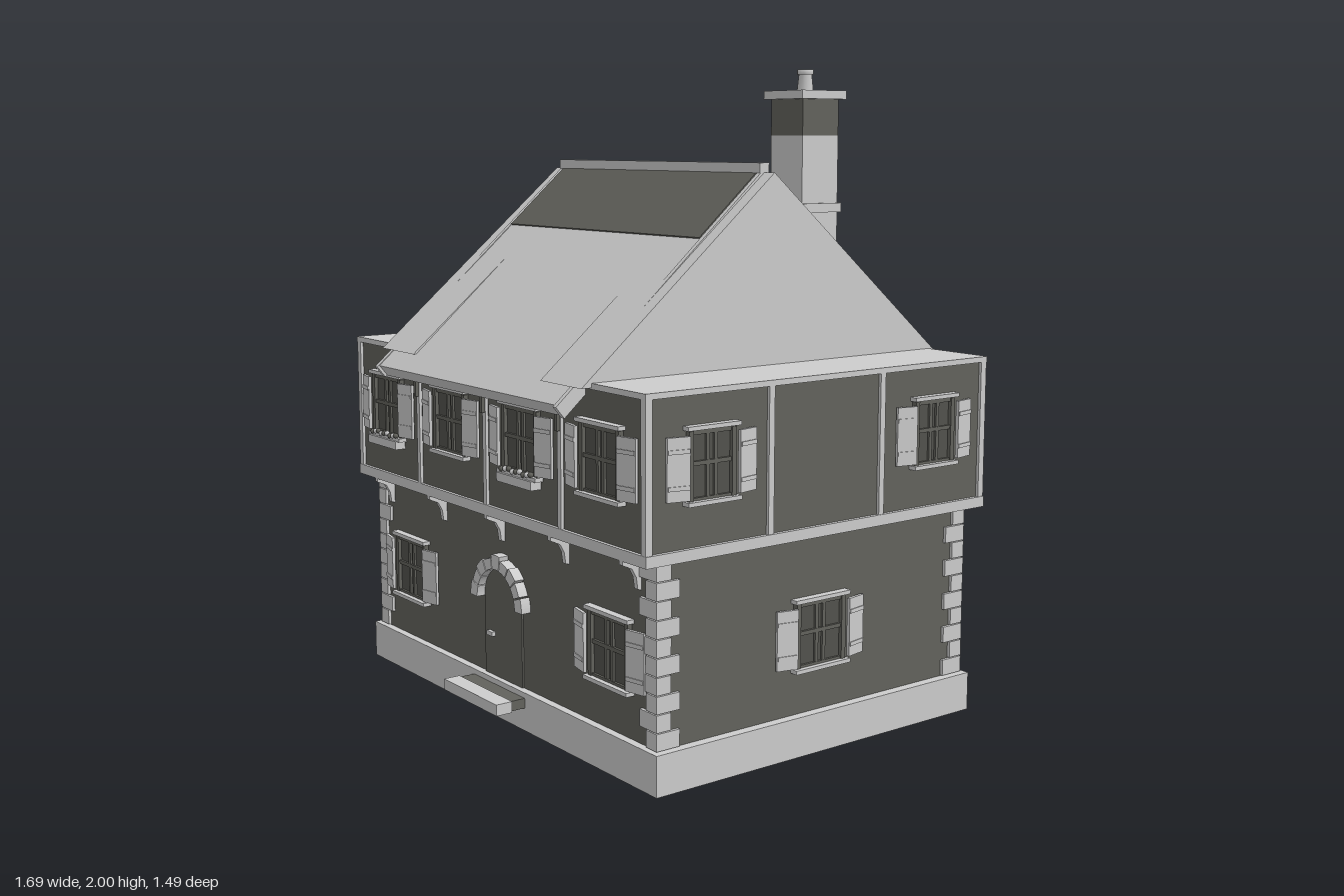
import * as THREE from 'three';

export function createModel() {
  const house = new THREE.Group();
  const stone = new THREE.MeshStandardMaterial({ color: 0xcccccc });
  stone.name = 'light stone';
  const plaster = new THREE.MeshStandardMaterial({ color: 0x62625c });
  plaster.name = 'dark plaster';
  const glass = new THREE.MeshStandardMaterial({ color: 0x52524d });
  glass.name = 'dark glass';

  function add(parent, name, geo, mat) {
    const mesh = new THREE.Mesh(geo, mat);
    mesh.name = name;
    parent.add(mesh);
    return mesh;
  }
  // Box given by its min and max on each axis
  function box(parent, name, mat, x0, x1, y0, y1, z0, z1) {
    const m = add(parent, name, new THREE.BoxGeometry(x1 - x0, y1 - y0, z1 - z0), mat);
    m.position.set((x0 + x1) / 2, (y0 + y1) / 2, (z0 + z1) / 2);
    return m;
  }
  // Outline in (z, y), extruded along x
  function alongX(parent, name, mat, pts, x0, x1) {
    const shape = new THREE.Shape(pts.map(([z, y]) => new THREE.Vector2(-z, y)));
    const geo = new THREE.ExtrudeGeometry(shape, { depth: x1 - x0, bevelEnabled: false });
    geo.rotateY(Math.PI / 2).translate(x0, 0, 0);
    return add(parent, name, geo, mat);
  }

  // Plinth, doorstep and floors
  box(house, 'plinth', stone, -0.82, 0.82, 0, 0.12, -0.615, 0.615);
  box(house, 'doorstep', stone, -0.157, 0.157, 0.07, 0.105, 0.665, 0.72);
  box(house, 'doorstepRear', plaster, -0.15, 0.15, 0.072, 0.103, 0.6, 0.665);
  box(house, 'groundFloorWalls', plaster, -0.79, 0.79, 0.12, 0.655, -0.59, 0.59);
  box(house, 'upperFloorWalls', plaster, -0.815, 0.815, 0.68, 1.11, -0.645, 0.645);
  box(house, 'lowerBeam', stone, -0.828, 0.828, 0.652, 0.685, -0.656, 0.656);
  box(house, 'upperDeck', stone, -0.826, 0.826, 1.108, 1.125, -0.656, 0.656);

  // Timber posts of the upper floor
  for (const s of [-1, 1]) {
    for (const x of [-0.41, 0, 0.41]) {
      box(house, 'wallPost', stone, x - 0.009, x + 0.009, 0.685, 1.11, s * 0.648 - 0.007, s * 0.648 + 0.007);
      box(house, 'eaveBrace', plaster, x - 0.006, x + 0.006, 0.97, 1.09, s * 0.658 - 0.008, s * 0.658 + 0.008);
    }
    for (const z of [-0.215, 0.215])
      box(house, 'sidePost', stone, s * 0.818 - 0.007, s * 0.818 + 0.007, 0.685, 1.11, z - 0.01, z + 0.01);
    for (const t of [-1, 1])
      box(house, 'cornerPost', stone, s * 0.814 - 0.011, s * 0.814 + 0.011, 0.685, 1.11, t * 0.644 - 0.011, t * 0.644 + 0.011);
  }

  // Corner quoins, long and short by turns
  for (const sx of [-1, 1]) for (const sz of [-1, 1]) for (let i = 0; i < 10; i++) {
    const lx = i % 2 ? 0.08 : 0.05, lz = i % 2 ? 0.05 : 0.08;
    const q = add(house, 'quoin', new THREE.BoxGeometry(lx, 0.05, lz), stone);
    q.position.set(sx * (0.8 - lx / 2), 0.1475 + i * 0.0532, sz * (0.6 - lz / 2));
  }

  // Curved brackets under the overhang
  for (const x of [-0.71, -0.355, 0, 0.355, 0.71])
    alongX(house, 'bracket', stone, [[0.585, 0.655], [0.585, 0.56], [0.603, 0.565], [0.608, 0.6], [0.622, 0.625], [0.655, 0.64], [0.655, 0.655]], x - 0.008, x + 0.008);

  // Window with shutters, facing +z, origin at the wall under its sill
  function windowUnit(x, y, z, turn, half, flowers) {
    const g = new THREE.Group();
    g.name = 'window';
    box(g, 'pane', glass, -half, half, 0.01, 0.205, -0.005, 0.004);
    for (const s of [-1, 1]) {
      box(g, 'frameSide', plaster, s * half - 0.008, s * half + 0.008, 0.01, 0.205, 0, 0.016);
      box(g, 'casement', plaster, s * 0.014 - 0.006, s * 0.014 + 0.006, 0.01, 0.205, 0, 0.011);
      const shutter = new THREE.Group();
      shutter.name = 'shutter';
      box(shutter, 'shutterPanel', stone, -0.035, 0.035, 0.018, 0.195, -0.005, 0.005);
      for (const b of [0.055, 0.155]) box(shutter, 'shutterBatten', stone, -0.033, 0.033, b - 0.006, b + 0.006, 0.004, 0.008);
      shutter.position.set(s * (half + 0.046), 0, 0.016);
      shutter.rotation.y = s * 0.2;
      g.add(shutter);
    }
    for (const b of [0.014, 0.115, 0.2]) box(g, 'glazingBar', plaster, -half, half, b - 0.006, b + 0.006, 0, 0.012);
    box(g, 'lintel', stone, -half - 0.018, half + 0.018, 0.208, 0.22, 0, 0.025);
    box(g, 'sill', stone, -half - 0.018, half + 0.018, 0, 0.012, 0, 0.028);
    if (flowers) {
      box(g, 'flowerBox', stone, -0.095, 0.095, -0.025, 0.002, 0, 0.036);
      for (let i = 0; i < 9; i++) {
        const f = add(g, 'flower', new THREE.IcosahedronGeometry(0.009, 1), i % 2 ? stone : plaster);
        f.position.set(-0.08 + i * 0.02, 0.013 + (i % 3) * 0.003, 0.026);
      }
    }
    g.position.set(x, y, z);
    g.rotation.y = turn;
    house.add(g);
  }
  [-0.615, -0.205, 0.205, 0.615].forEach((x, i) => windowUnit(x, 0.805, 0.645, 0, 0.088, i % 2 === 0));
  for (const s of [-1, 1]) {
    windowUnit(s * 0.575, 0.25, 0.59, 0, 0.09, false);
    windowUnit(s * 0.79, 0.25, 0, s * Math.PI / 2, 0.088, false);
    for (const z of [-0.43, 0.43]) windowUnit(s * 0.815, 0.805, z, s * Math.PI / 2, 0.075, false);
  }

  // Arched door with stone surround
  const doorShape = new THREE.Shape();
  doorShape.moveTo(-0.108, 0.12);
  doorShape.lineTo(0.108, 0.12);
  doorShape.lineTo(0.108, 0.37);
  doorShape.absarc(0, 0.37, 0.108, 0, Math.PI, false);
  const door = add(house, 'door', new THREE.ExtrudeGeometry(doorShape, { depth: 0.008, bevelEnabled: false }), plaster);
  door.position.z = 0.588;
  box(house, 'doorHandle', stone, -0.082, -0.048, 0.248, 0.262, 0.594, 0.608);
  for (let i = 0; i < 9; i++) {
    const a0 = i * Math.PI / 9 + 0.015, a1 = (i + 1) * Math.PI / 9 - 0.015;
    const outer = i === 4 ? 0.156 : 0.15 - (i % 2) * 0.006;
    const s = new THREE.Shape();
    s.absarc(0, 0.365, outer, a0, a1, false);
    s.absarc(0, 0.365, 0.11, a1, a0, true);
    const v = add(house, 'archStone', new THREE.ExtrudeGeometry(s, { depth: 0.035, bevelEnabled: false, curveSegments: 3 }), stone);
    v.position.z = 0.588;
  }

  // Gabled roof: end blocks, long slab, verge boards, dark upper band and ridge
  const gable = [[-0.69, 1.112], [0.69, 1.112], [0, 1.692]];
  alongX(house, 'gableBlock', stone, gable, 0.37, 0.576);
  alongX(house, 'gableBlock', stone, gable, -0.576, -0.37);
  const chevron = (top, z, drop) => {
    const k = 0.865, n = 0.034;
    return [[0, top], [z, top - k * z], [z - drop, top - k * z - n], [0, top - k * (drop ? z : 0) - n + k * (drop ? z - drop : 0)],
      [drop - z, top - k * z - n], [-z, top - k * z]];
  };
  alongX(house, 'roofSlab', stone, chevron(1.7, 0.735, 0.028), -0.52, 0.52);
  for (const s of [-1, 1])
    alongX(house, 'vergeBoard', stone, chevron(1.703, 0.743, 0.028), s * 0.522 - 0.008, s * 0.522 + 0.008);
  alongX(house, 'roofBand', plaster, [[0, 1.706], [0.23, 1.507], [0.225, 1.5], [0, 1.695], [-0.225, 1.5], [-0.23, 1.507]], -0.512, 0.512);
  box(house, 'ridge', stone, -0.53, 0.53, 1.69, 1.72, -0.018, 0.018);

  // Chimney
  const chimney = new THREE.Group();
  chimney.name = 'chimney';
  box(chimney, 'chimneyShaft', stone, -0.073, 0.073, 1.3, 1.8, -0.073, 0.073);
  box(chimney, 'chimneyTop', plaster, -0.073, 0.073, 1.8, 1.912, -0.073, 0.073);
  box(chimney, 'chimneyCollar', stone, -0.082, 0.082, 1.566, 1.594, -0.082, 0.082);
  box(chimney, 'chimneyCap', stone, -0.09, 0.09, 1.91, 1.936, -0.09, 0.09);
  const pot = [[0.026, 1.93], [0.02, 1.985], [0.025, 1.985], [0.025, 2], [0.017, 2], [0.015, 1.94], [0, 1.94]];
  add(chimney, 'chimneyPot', new THREE.LatheGeometry(pot.map(p => new THREE.Vector2(...p)), 16), stone);
  chimney.position.set(0.408, 0, -0.265);
  house.add(chimney);

  return house;
}
